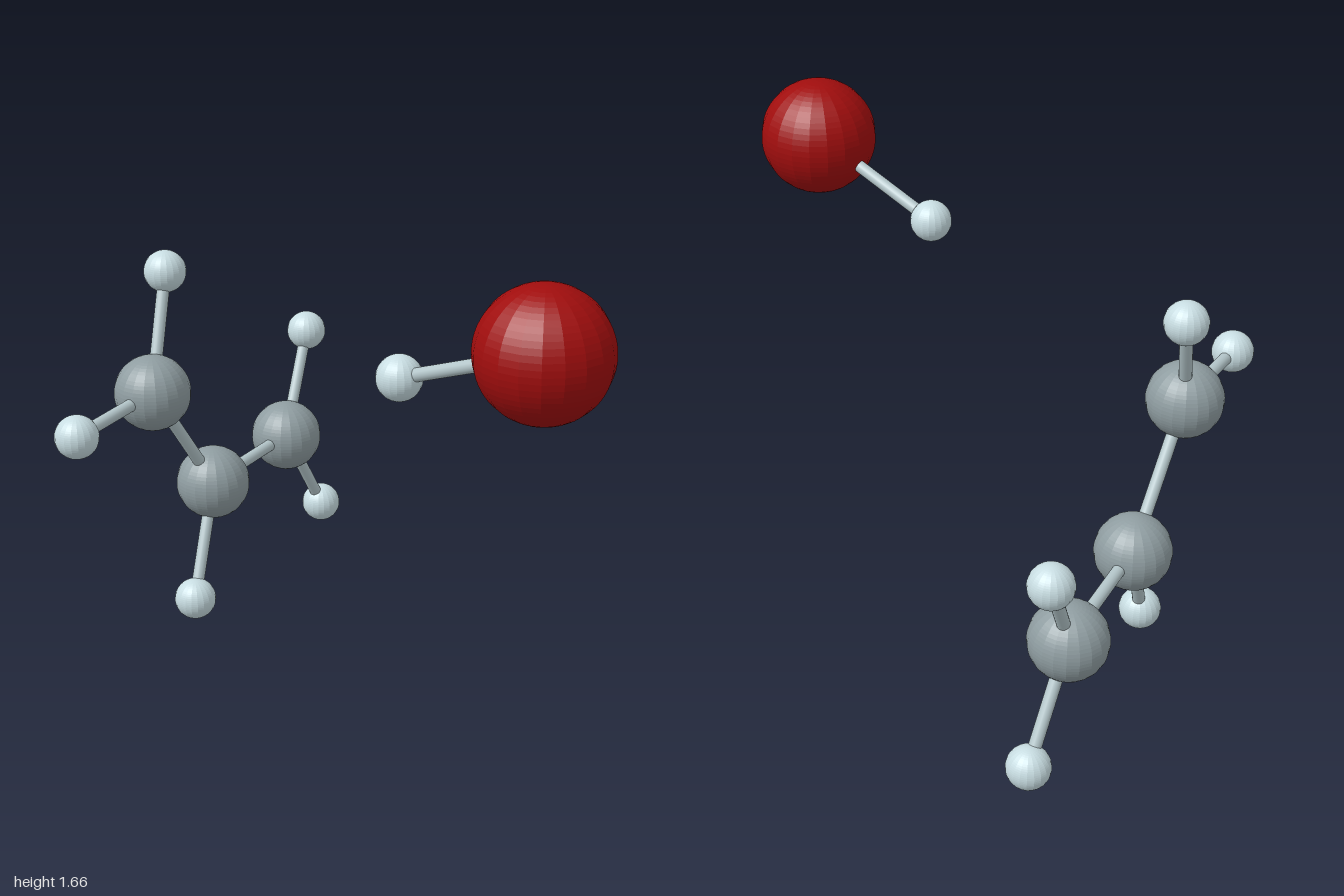
import * as THREE from 'three';

// Atom kinds: radius and colour
const KINDS = {
  red: { radius: 0.218, color: 0xa00d0d },
  grey: { radius: 0.138, color: 0x8f9da1 },
  pale: { radius: 0.077, color: 0xc8dde2 },
};

// Every ball: name, kind, centre
const ATOMS = {
  redBall: ['red', 0.78, 1.445, 0.708],
  redBallPartner: ['pale', 0.249, 1.25, 0.572],
  upperGreyBall: ['grey', -0.861, 0.928, 0.25],
  middleGreyBall: ['grey', -0.807, 0.472, -0.064],
  rearGreyBall: ['grey', -0.781, 0.468, -0.62],
  upperTopPaleBall: ['pale', -0.899, 1.325, 0.065],
  upperFrontPaleBall: ['pale', -0.903, 0.905, 0.684],
  middleLowPaleBall: ['pale', -0.782, 0.08, 0.145],
  rearTopPaleBall: ['pale', -0.798, 0.84, -0.85],
  rearLowPaleBall: ['pale', -0.742, 0.094, -0.845],
};

// Rods joining pairs of balls
const BONDS = [
  ['redBall', 'redBallPartner'],
  ['upperGreyBall', 'middleGreyBall'],
  ['middleGreyBall', 'rearGreyBall'],
  ['upperGreyBall', 'upperTopPaleBall'],
  ['upperGreyBall', 'upperFrontPaleBall'],
  ['middleGreyBall', 'middleLowPaleBall'],
  ['rearGreyBall', 'rearTopPaleBall'],
  ['rearGreyBall', 'rearLowPaleBall'],
];

const ROD_RADIUS = 0.023;

export function createModel() {
  const group = new THREE.Group();
  group.name = 'ballAndStickModel';

  // Faceted balls, one geometry and material per kind
  const parts = {};
  for (const [kind, { radius, color }] of Object.entries(KINDS)) {
    parts[kind] = {
      geometry: new THREE.SphereGeometry(radius, 20, 32),
      material: new THREE.MeshStandardMaterial({ color, flatShading: true }),
    };
  }
  const centres = {};
  for (const [name, [kind, x, y, z]] of Object.entries(ATOMS)) {
    const ball = new THREE.Mesh(parts[kind].geometry, parts[kind].material);
    ball.name = name;
    ball.position.set(x, y, z);
    centres[name] = ball.position;
    group.add(ball);
  }

  // Rods run from centre to centre
  const rodMaterial = new THREE.MeshStandardMaterial({ color: 0xb4c6ca });
  const up = new THREE.Vector3(0, 1, 0);
  for (const [from, to] of BONDS) {
    const span = centres[to].clone().sub(centres[from]);
    const rod = new THREE.Mesh(
      new THREE.CylinderGeometry(ROD_RADIUS, ROD_RADIUS, span.length(), 20, 1, true),
      rodMaterial
    );
    rod.name = `rod_${from}_${to}`;
    rod.position.copy(centres[from]).addScaledVector(span, 0.5);
    rod.quaternion.setFromUnitVectors(up, span.normalize());
    group.add(rod);
  }
  return group;
}
